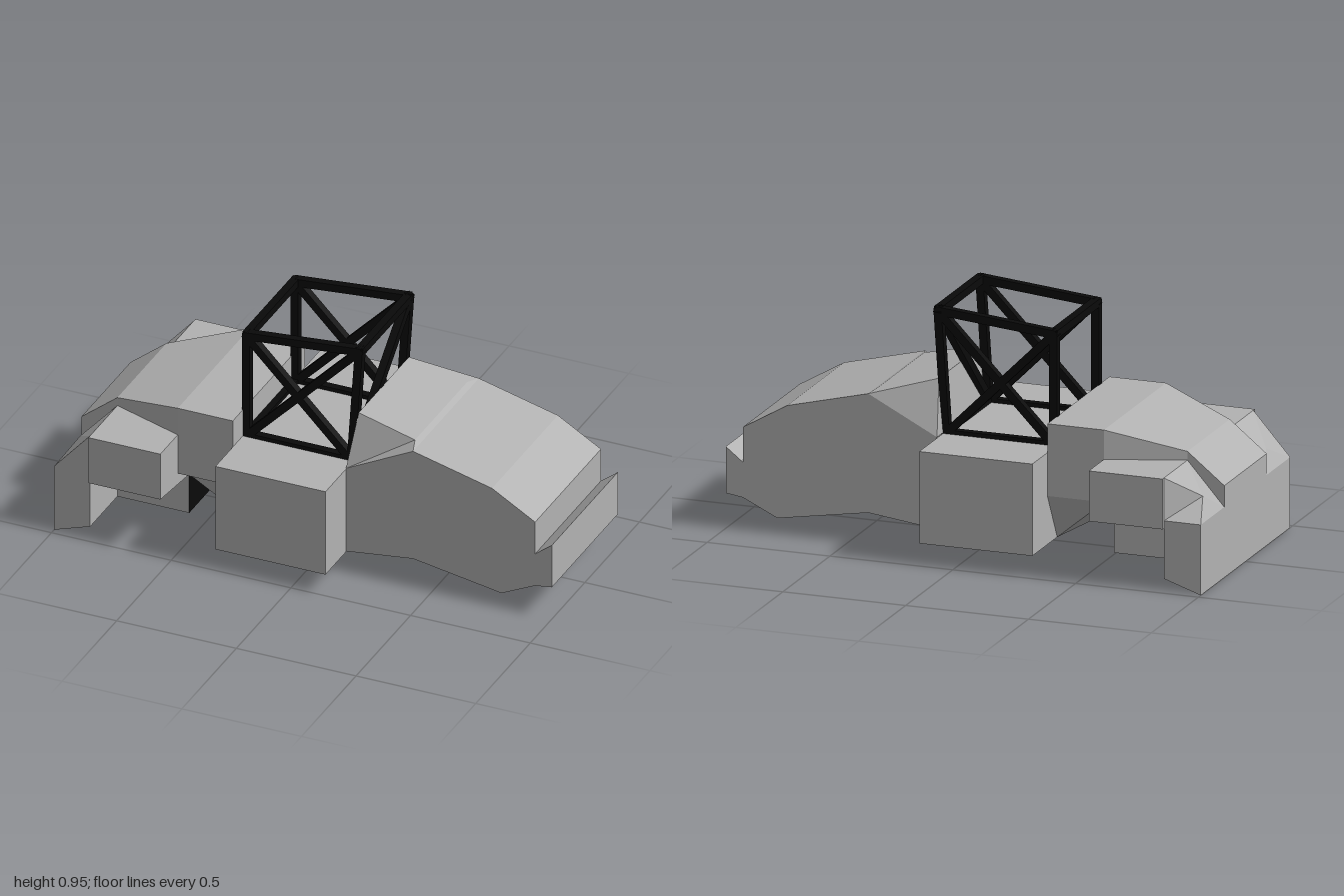
import * as THREE from 'three';

const body = new THREE.MeshStandardMaterial({ color: 0xb2b2b2, side: THREE.DoubleSide, flatShading: true });
body.name = 'grey bodywork';
const black = new THREE.MeshStandardMaterial({ color: 0x0a0a0a, side: THREE.DoubleSide, flatShading: true });
black.name = 'black';

// Convex panels, each a list of [x, y, z] corners, as one flat-shaded shell
function shell(name, panels, material = body) {
  const pos = [];
  for (const p of panels)
    for (let i = 1; i < p.length - 1; i++) pos.push(...p[0], ...p[i], ...p[i + 1]);
  const g = new THREE.BufferGeometry();
  g.setAttribute('position', new THREE.Float32BufferAttribute(pos, 3));
  g.computeVertexNormals();
  const m = new THREE.Mesh(g, material);
  m.name = name;
  return m;
}

// Panels repeated on the other side, corners reversed so they still face outward
const both = (panels) => [...panels, ...panels.map((p) => p.map(([x, y, z]) => [x, y, -z]).reverse())];

// Ribbon across the car through [x, y, halfWidth] stations; faces up when x rises
const ribbon = (st) => st.slice(1).map(([x, y, w], i) => {
  const [x0, y0, w0] = st[i];
  return [[x0, y0, w0], [x, y, w], [x, y, -w], [x0, y0, -w0]];
});

// Flat panel in the x-y plane at a given z
function sidePlate(name, pts, z) {
  const s = new THREE.Shape(pts.map(([x, y]) => new THREE.Vector2(x, y)));
  const m = new THREE.Mesh(new THREE.ShapeGeometry(s), body);
  m.name = name;
  if (z < 0) m.rotation.y = Math.PI, m.scale.x = -1;
  m.position.z = z;
  return m;
}

// Square bar between two points
function bar(a, b, t = 0.032) {
  const A = new THREE.Vector3(...a), B = new THREE.Vector3(...b);
  const m = new THREE.Mesh(new THREE.BoxGeometry(t, t, A.distanceTo(B) + t * 0.6), black);
  m.position.copy(A).add(B).multiplyScalar(0.5);
  m.lookAt(B);
  m.name = 'cageBar';
  return m;
}

function nose() {
  const g = new THREE.Group();
  g.name = 'nose';
  const W = 0.302;
  const profile = [[0.14, 0.09], [0.42, 0.125], [0.79, 0.063], [0.93, 0.13], [1, 0.14], [1, 0.325],
    [0.93, 0.27], [0.93, 0.41], [0.75, 0.515], [0.42, 0.598], [0.14, 0.455]];
  g.add(sidePlate('noseSide', profile, W), sidePlate('noseSide', profile, -W));
  // bonnet, bumper and chin
  g.add(shell('bonnet', ribbon([...profile.slice(2, 10)].reverse().map(([x, y]) => [x, y, W]))));
  // raised cowl with chamfered sides
  const base = [0.14, 0.455, W], edge = [0.42, 0.598, W], peak = [0.16, 0.667, 0.23], fore = [0.4, 0.61, 0.24];
  g.add(shell('cowlSides', both([[base, edge, fore, peak]])));
  g.add(shell('cowlTop', ribbon([[0.16, 0.667, 0.23], [0.4, 0.61, 0.24], [0.42, 0.598, W]])));
  g.add(shell('cowlBack', ribbon([[0.14, 0.455, W], [0.16, 0.667, 0.23]])));
  return g;
}

function cabin() {
  const g = new THREE.Group();
  g.name = 'cabin';
  const r = -0.32, f = 0.14, lo = 0.087, hi = 0.452, W = 0.49;
  g.add(shell('cabinDeck', ribbon([[r, hi, W], [f, hi, W]])));
  g.add(shell('sidePods', both([
    [[r, lo, W], [f, lo, W], [f, hi, W], [r, hi, W]],
    [[f, lo, W], [f, lo, 0.302], [f, hi, 0.302], [f, hi, W]],
  ])));
  g.add(shell('cabinBackWall', [[[r, lo, -W], [r, lo, W], [r, hi, W], [r, hi, -W]]]));
  return g;
}

function tail() {
  const g = new THREE.Group();
  g.name = 'tail';
  const a = -0.32, b = -0.55, c = -0.85, d = -1, N = 0.225, M = 0.33, W = 0.49, C = 0.475;
  g.add(shell('engineCover', ribbon([[d, 0.365, N], [c, 0.485, N], [b, 0.567, M], [a, 0.567, M]])));
  g.add(shell('engineCoverFront', [[[a, 0.45, M], [a, 0.45, -M], [a, 0.567, -M], [a, 0.567, M]]]));
  g.add(shell('engineCoverSides', both([
    [[b, 0.28, M], [a, 0.28, M], [a, 0.567, M], [b, 0.567, M]],
    [[c, 0.45, N], [b, 0.45, M], [b, 0.567, M], [c, 0.485, N]],
    [[d, 0.28, N], [c, 0.28, N], [c, 0.485, N], [d, 0.365, N]],
    [[b, 0.22, N], [a, 0.087, N], [a, 0.28, M], [b, 0.28, M]],
  ])));
  // wheel covers with a sloping underside
  g.add(shell('wheelCovers', both([
    [[c, 0.25, W], [b, 0.25, W], [b, 0.45, W], [c, 0.45, W]],
    [[c, 0.45, W], [b, 0.45, W], [b, 0.45, M], [c, 0.45, N]],
    [[c, 0.22, N], [b, 0.22, N], [b, 0.25, W], [c, 0.25, W]],
    [[b, 0.25, W], [b, 0.22, N], [b, 0.28, M], [b, 0.45, M], [b, 0.45, W]],
    [[c, 0.22, N], [c, 0.25, W], [c, 0.45, W], [c, 0.45, N]],
    [[c, 0.05, N], [b, 0.05, N], [b, 0.22, N], [c, 0.22, N]],
  ])));
  // rear corners with faceted fairings
  const q = [d, 0.28, N], o = [d, 0.28, C], p = [-0.955, 0.35, 0.335];
  const m = [c, 0.45, C], t = [c, 0.45, N];
  g.add(shell('rearCorners', both([
    [[d, 0, C], [c, 0.05, C], [c, 0.28, C], o],
    [[d, 0, N], [c, 0.05, N], [c, 0.05, C], [d, 0, C]],
    [[c, 0.05, C], [c, 0.05, N], [c, 0.28, N], [c, 0.28, C]],
    [q, o, p],
    [o, [c, 0.28, C], m, p],
    [p, m, t],
    [q, p, t],
  ])));
  g.add(shell('rearPanel', [
    [[d, 0, -C], [d, 0, C], [d, 0.28, C], [d, 0.28, -C]],
    [[d, 0.28, -N], [d, 0.28, N], [d, 0.365, N], [d, 0.365, -N]],
  ]));
  g.add(shell('underTray',
    ribbon([[a, 0.087, N], [b, 0.22, N], [b, 0.05, N], [c, 0.05, N], [d, 0, N]]), black));
  return g;
}

function cage() {
  const g = new THREE.Group();
  g.name = 'rollCage';
  const Z = 0.222;
  const rb = [-0.308, 0.452], rt = [-0.308, 0.893], fb = [0.13, 0.452], ft = [0.163, 0.936];
  // side frames with crossed braces
  for (const z of [Z, -Z])
    for (const [u, v] of [[rb, rt], [fb, ft], [rt, ft], [rb, fb], [rb, ft], [rt, fb]])
      g.add(bar([...u, z], [...v, z]));
  // cross bars
  for (const u of [rb, rt, fb, ft]) g.add(bar([...u, Z], [...u, -Z]));
  // diagonal brace
  g.add(bar([...fb, Z], [...ft, -Z]));
  return g;
}

export function createModel() {
  const model = new THREE.Group();
  model.name = 'buggyBody';
  model.add(nose(), cabin(), tail(), cage());
  return model;
}
